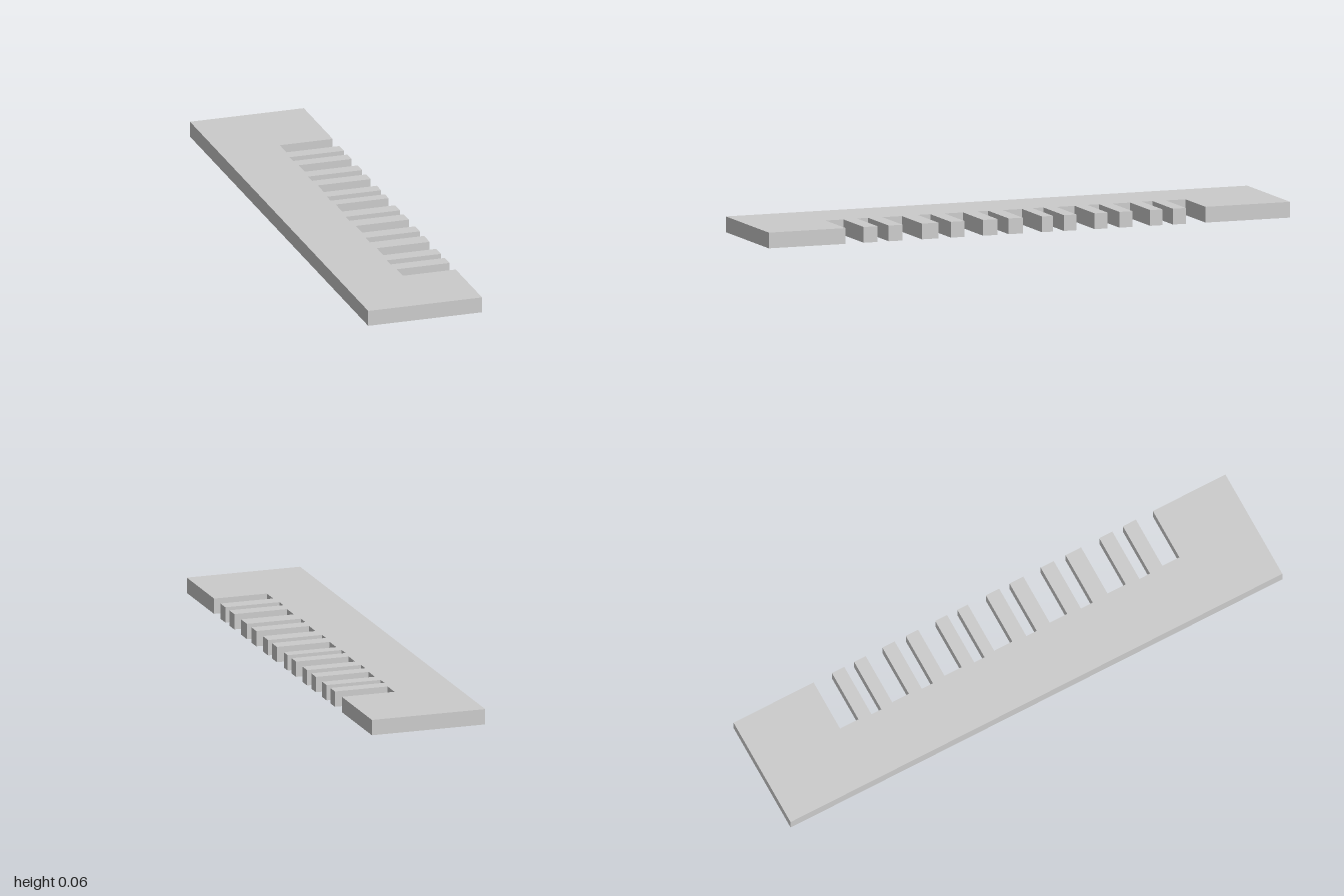
import * as THREE from 'three';

const HALF_WIDTH = 0.215, THICKNESS = 0.057, RISE = 0.0065;

// Notches along the +x edge: [z start, z end], alternating wide and narrow
const NOTCHES = [
  [-0.675, -0.6], [-0.55, -0.51], [-0.463, -0.395], [-0.345, -0.3], [-0.25, -0.18],
  [-0.132, -0.09], [-0.048, 0.026], [0.08, 0.122], [0.178, 0.249], [0.302, 0.35],
  [0.413, 0.487], [0.54, 0.583], [0.636, 0.705],
];

export function createModel() {
  const group = new THREE.Group();
  group.name = 'notchedPlate';

  // Plan outline, with shape y standing for -z
  const outline = new THREE.Shape();
  outline.moveTo(-HALF_WIDTH, 1);
  outline.lineTo(-HALF_WIDTH, -1);
  outline.lineTo(HALF_WIDTH, -1);
  for (let i = NOTCHES.length - 1; i >= 0; i--) {
    const [back, front] = NOTCHES[i];
    const floor = i % 2 ? 0.01 : 0.015;
    outline.lineTo(HALF_WIDTH, -front);
    outline.lineTo(floor, -front);
    outline.lineTo(floor, -back);
    outline.lineTo(HALF_WIDTH, -back);
  }
  outline.lineTo(HALF_WIDTH, 1);
  outline.closePath();

  const geometry = new THREE.ExtrudeGeometry(outline, { depth: THICKNESS, bevelEnabled: false });
  geometry.rotateX(-Math.PI / 2);

  // The plate rises very slightly towards the back
  const p = geometry.attributes.position;
  for (let i = 0; i < p.count; i++) p.setY(i, p.getY(i) + RISE * (1 - p.getZ(i)) / 2);
  geometry.computeVertexNormals();

  const plate = new THREE.Mesh(
    geometry,
    new THREE.MeshStandardMaterial({ color: 0xcccccc, flatShading: true }),
  );
  plate.name = 'combPlate';
  group.add(plate);
  return group;
}
